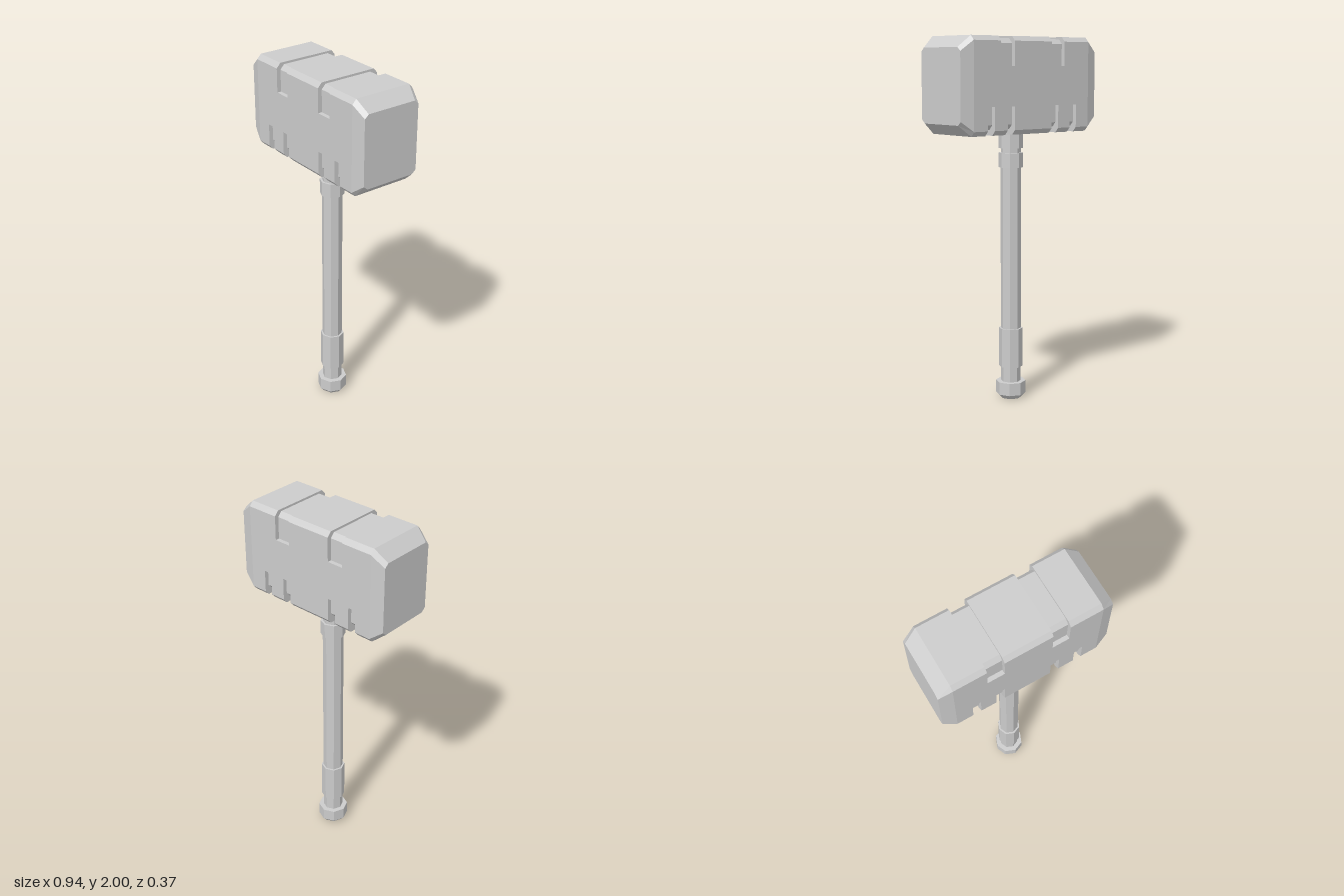
import * as THREE from 'three';

const material = new THREE.MeshStandardMaterial({
  color: 0xcccccc, flatShading: true, side: THREE.DoubleSide,
});

// Closed 16-point outline of the head at x; bands recess the upper or lower part.
function headSection(x, { top = 0, bottom = 0, end = false } = {}) {
  const z = end ? 0.166 : 0.186;
  const low = end ? 1.548 : 1.49 + bottom * 1.3;
  const high = end ? 1.94 : 2 - top * 0.5;
  const bevel = end ? 0.02 : 0.025;
  const half = [
    [z - 0.023 - bottom, low],
    [z - bottom, low + bevel],
    [z - bottom, 1.638],
    [z, 1.638],
    [z, 1.845],
    [z - top, 1.845],
    [z - top, high - bevel],
    [z - 0.023 - top, high],
  ];
  const mirrored = half.slice().reverse().map(([pz, py]) => [-pz, py]);
  return [...half, ...mirrored].map(([pz, py]) => new THREE.Vector3(x, py, pz));
}

// Skin a row of matching sections and cap both ends.
function loft(sections) {
  const positions = [];
  const triangle = (a, b, c) => {
    const area = b.clone().sub(a).cross(c.clone().sub(a)).length();
    if (area > 1e-8) for (const p of [a, b, c]) positions.push(p.x, p.y, p.z);
  };
  const n = sections[0].length;
  const first = sections[0], last = sections[sections.length - 1];
  const centre = (s) => s.reduce((sum, p) => sum.add(p), new THREE.Vector3()).divideScalar(n);
  const c0 = centre(first), c1 = centre(last);
  for (let i = 0; i < n; i++) {
    const j = (i + 1) % n;
    for (let s = 0; s < sections.length - 1; s++) {
      const a = sections[s], b = sections[s + 1];
      triangle(a[i], b[i], b[j]);
      triangle(a[i], b[j], a[j]);
    }
    triangle(c0, first[i], first[j]);
    triangle(c1, last[j], last[i]);
  }
  const geometry = new THREE.BufferGeometry();
  geometry.setAttribute('position', new THREE.Float32BufferAttribute(positions, 3));
  geometry.computeVertexNormals();
  return geometry;
}

function buildHead() {
  // Recessed bands on the +x half: two slots below, one wide strap groove above
  const inTop = (x) => x > 0.13 && x < 0.222;
  const inBottom = (x) => (x > 0.13 && x < 0.178) || (x > 0.264, x > 0.264 && x < 0.31);
  const rightBreaks = [0.13, 0.178, 0.222, 0.264, 0.31, 0.4];
  const breaks = [...rightBreaks.map((x) => -x).reverse(), ...rightBreaks];

  const sections = [headSection(-0.47, { end: true })];
  for (let i = 0; i < breaks.length - 1; i++) {
    const middle = Math.abs((breaks[i] + breaks[i + 1]) / 2);
    const recess = {
      top: inTop(middle) ? 0.023 : 0,
      bottom: inBottom(middle) ? 0.023 : 0,
    };
    sections.push(headSection(breaks[i], recess), headSection(breaks[i + 1], recess));
  }
  sections.push(headSection(0.47, { end: true }));

  const head = new THREE.Mesh(loft(sections), material);
  head.name = 'hammerHead';
  return head;
}

export function createModel() {
  const model = new THREE.Group();
  model.name = 'hammer';
  model.add(buildHead());

  // Eight-sided handle parts: name, bottom y, top y, bottom radius, top radius
  const handle = new THREE.Group();
  handle.name = 'handle';
  const parts = [
    ['pommelBevel', 0, 0.025, 0.06, 0.083],
    ['pommel', 0.025, 0.095, 0.083, 0.083],
    ['pommelNeck', 0.095, 0.18, 0.055, 0.055],
    ['grip', 0.18, 0.4, 0.066, 0.066],
    ['shaft', 0.4, 1.3, 0.056, 0.056],
    ['lowerCollar', 1.3, 1.38, 0.067, 0.067],
    ['collarGap', 1.38, 1.405, 0.055, 0.055],
    ['upperCollar', 1.405, 1.5, 0.067, 0.067],
  ];
  for (const [name, y0, y1, r0, r1] of parts) {
    const mesh = new THREE.Mesh(new THREE.CylinderGeometry(r1, r0, y1 - y0, 8), material);
    mesh.position.y = (y0 + y1) / 2;
    mesh.name = name;
    handle.add(mesh);
  }
  model.add(handle);
  return model;
}
